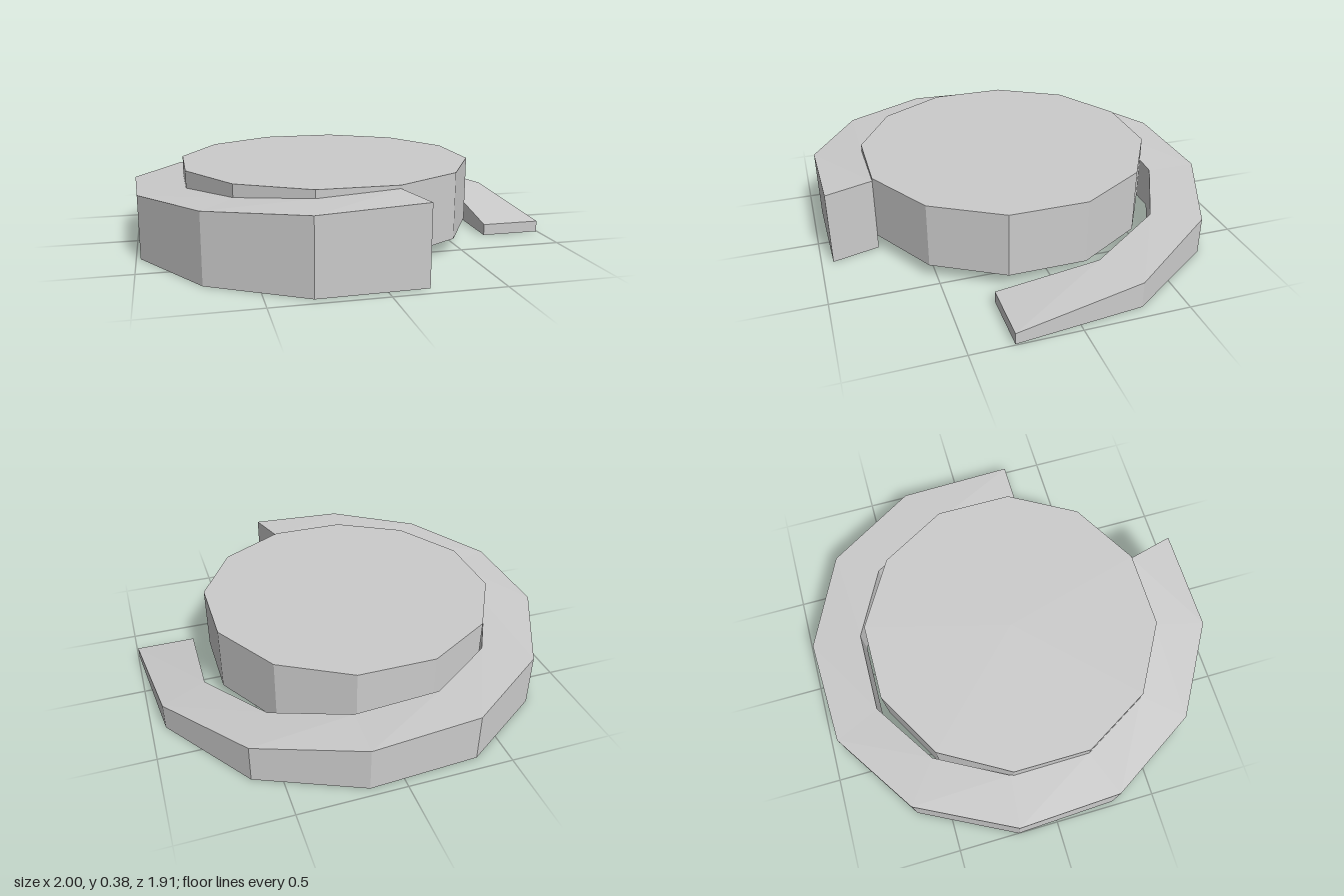
import * as THREE from 'three';

// Ramp cross-sections: outer x, z, top height, then inner x, z, top height
const SECTIONS = [
  [0.995, 0.30, 0.055, 0.705, 0.30, 0.055],
  [0.935, -0.30, 0.13, 0.72, -0.185, 0.13],
  [0.63, -0.75, 0.183, 0.50, -0.545, 0.175],
  [0.16, -0.96, 0.215, 0.15, -0.715, 0.21],
  [-0.355, -0.935, 0.235, -0.255, -0.715, 0.237],
  [-0.765, -0.66, 0.257, -0.57, -0.51, 0.26],
  [-1.0, -0.20, 0.28, -0.755, -0.175, 0.283],
  [-0.98, 0.295, 0.30, -0.76, 0.21, 0.303],
  [-0.725, 0.71, 0.32, -0.57, 0.535, 0.325],
  [-0.305, 0.955, 0.34, -0.25, 0.72, 0.347],
  [0.18, 0.945, 0.362, 0.12, 0.72, 0.37],
];

function rampGeometry() {
  const positions = [];
  const quad = (a, b, c, d) => positions.push(...a, ...b, ...c, ...a, ...c, ...d);
  const rings = SECTIONS.map(([ox, oz, oy, ix, iz, iy]) => ({
    ob: [ox, 0, oz], ot: [ox, oy, oz], ib: [ix, 0, iz], it: [ix, iy, iz],
  }));
  for (let i = 0; i < rings.length - 1; i++) {
    const p = rings[i], q = rings[i + 1];
    quad(p.ot, q.ot, q.it, p.it); // sloping top
    quad(p.ob, q.ob, q.ot, p.ot); // outer wall
    quad(q.ib, p.ib, p.it, q.it); // inner wall
    quad(p.ib, q.ib, q.ob, p.ob); // underside
  }
  // End faces
  const s = rings[0], e = rings[rings.length - 1];
  quad(s.ib, s.ob, s.ot, s.it);
  quad(e.ob, e.ib, e.it, e.ot);
  const geometry = new THREE.BufferGeometry();
  geometry.setAttribute('position', new THREE.Float32BufferAttribute(positions, 3));
  geometry.computeVertexNormals();
  return geometry;
}

export function createModel() {
  const group = new THREE.Group();
  const material = new THREE.MeshStandardMaterial({ color: 0xcccccc, flatShading: true });

  // Twelve-sided platform, raised slightly off the ground
  const radius = 0.695 / Math.cos(Math.PI / 12);
  const platform = new THREE.Mesh(
    new THREE.CylinderGeometry(radius, radius, 0.315, 12, 1, false, Math.PI / 12), material);
  platform.name = 'platform';
  platform.position.set(-0.065, 0.2275, 0.025);
  group.add(platform);

  // Ramp winding up around the platform
  const ramp = new THREE.Mesh(rampGeometry(), material);
  ramp.name = 'spiralRamp';
  group.add(ramp);

  return group;
}
